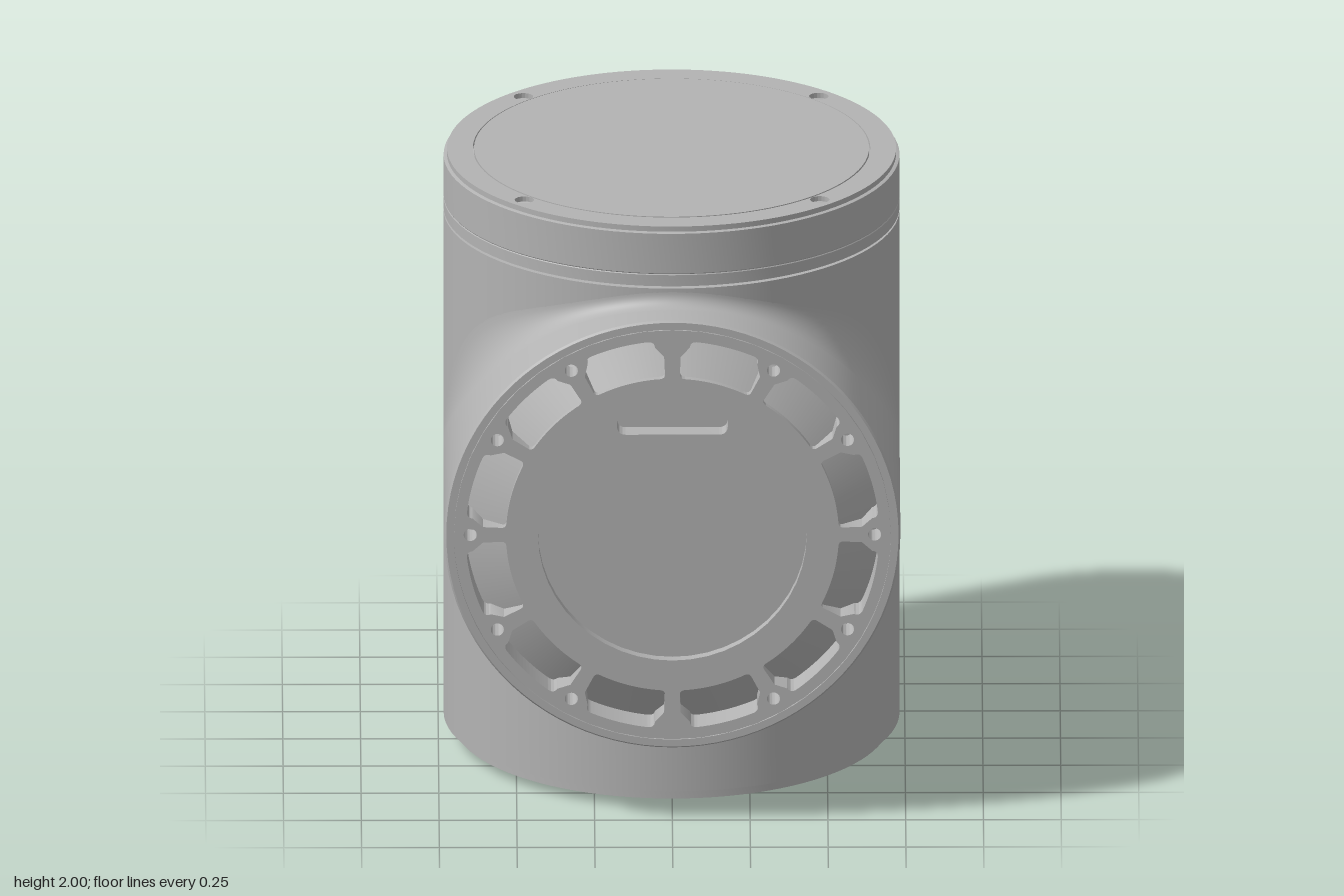
import * as THREE from 'three';
import { toCreasedNormals } from 'three/addons/utils/BufferGeometryUtils.js';

const R = 0.733;       // radius of the upright body and of the front collar
const ZC = -0.073;     // z of the upright axis
const FRONT = 0.805;   // z of the collar face

export function createModel() {
  const model = new THREE.Group();
  const grey = new THREE.MeshStandardMaterial({ color: 0xb3b3b3, side: THREE.DoubleSide });
  grey.name = 'grey metal';

  const add = (name, geometry, x = 0, y = 0, z = 0) => {
    const mesh = new THREE.Mesh(geometry, grey);
    mesh.name = name;
    mesh.position.set(x, y, z);
    model.add(mesh);
    return mesh;
  };
  const lathe = (points) => toCreasedNormals(
    new THREE.LatheGeometry(points.map(([r, y]) => new THREE.Vector2(r, y)), 96), 0.5);
  const circle = (Type, r, x = 0, y = 0) => {
    const c = new Type();
    c.absarc(x, y, r, 0, Math.PI * 2, false);
    return c;
  };
  const plate = (shape, depth, curveSegments = 64) => toCreasedNormals(
    new THREE.ExtrudeGeometry(shape, { depth, bevelEnabled: false, curveSegments }), 0.5);
  const polar = (r, a) => [r * Math.cos(a), r * Math.sin(a)];
  const deg = THREE.MathUtils.degToRad;

  // Upright body with stepped base and a small centre hole below
  add('body', lathe([
    [0, 0.03], [0.025, 0.03], [0.025, 0], [0.43, 0], [0.43, 0.028], [0.7, 0.028],
    [0.7, 0.065], [R, 0.065], [R, 1.79], [0.7, 1.79], [0.7, 1.8],
  ]), 0, 0, ZC);

  // Lid
  add('lid', lathe([
    [0.7, 1.798], [R, 1.798], [R, 1.836], [0.731, 1.839], [R, 1.842],
    [R, 1.978], [0.72, 1.982], [0, 1.982],
  ]), 0, 0, ZC);

  // Ring on the lid with four screw holes
  const lidRing = circle(THREE.Shape, 0.722);
  lidRing.holes.push(circle(THREE.Path, 0.639));
  for (let i = 0; i < 4; i++) {
    lidRing.holes.push(circle(THREE.Path, 0.031, ...polar(0.6715, deg(45 + 90 * i))));
  }
  add('lidRing', plate(lidRing, 0.018).rotateX(-Math.PI / 2), 0, 1.981, ZC);
  add('lidDisc', lathe([[0.635, 1.981], [0.635, 2], [0, 2]]), 0, 0, ZC);

  // Front collar
  add('collar', lathe([
    [R, ZC], [R, FRONT - 0.008], [0.727, FRONT], [0.703, FRONT], [0.703, FRONT - 0.01], [0.695, FRONT - 0.01],
  ]).rotateX(Math.PI / 2), 0, 1, 0);

  // Blend between collar and body, wide at the sides and tight above and below
  const rows = 144, cols = 10, pos = [], index = [];
  for (let i = 0; i <= rows; i++) {
    const b = (i / rows) * Math.PI * 2;
    const c = Math.cos(b), s = Math.sin(b);
    const f = 0.045 + 0.46 * c ** 4;
    const centre = new THREE.Vector3((R + f) * c, 1 + (R + f) * s, ZC + (R + f) * Math.abs(s));
    const u = new THREE.Vector3(-c, -s, 0), v = new THREE.Vector3(-c, 0, -Math.abs(s));
    const angle = u.angleTo(v);
    for (let j = 0; j <= cols; j++) {
      const t = j / cols;
      const d = angle < 1e-3 ? u.clone() : u.clone().multiplyScalar(Math.sin((1 - t) * angle))
        .addScaledVector(v, Math.sin(t * angle)).divideScalar(Math.sin(angle));
      pos.push(...d.multiplyScalar(f).add(centre).toArray());
      if (i < rows && j < cols) {
        const a = i * (cols + 1) + j, n = a + cols + 1;
        index.push(a, a + 1, n, a + 1, n + 1, n);
      }
    }
  }
  const blend = new THREE.BufferGeometry();
  blend.setAttribute('position', new THREE.Float32BufferAttribute(pos, 3));
  blend.setIndex(index);
  blend.computeVertexNormals();
  add('collarBlend', blend);

  // Face plate with bore, twelve vents and ten screw holes
  const face = circle(THREE.Shape, 0.702);
  face.holes.push(circle(THREE.Path, 0.432));
  for (let i = 0; i < 12; i++) {
    const mid = deg(15 + 30 * i);
    const vent = new THREE.Path();
    vent.moveTo(...polar(0.55, mid - deg(12.5)));
    vent.quadraticCurveTo(...polar(0.535, mid - deg(12.5)), ...polar(0.535, mid - deg(10.5)));
    vent.absarc(0, 0, 0.535, mid - deg(10.5), mid + deg(10.5), false);
    vent.quadraticCurveTo(...polar(0.535, mid + deg(12.5)), ...polar(0.55, mid + deg(12.5)));
    vent.lineTo(...polar(0.61, mid + deg(12.5)));
    vent.lineTo(...polar(0.645, mid + deg(10)));
    vent.quadraticCurveTo(...polar(0.665, mid + deg(10)), ...polar(0.665, mid + deg(8)));
    vent.absarc(0, 0, 0.665, mid + deg(8), mid - deg(8), true);
    vent.quadraticCurveTo(...polar(0.665, mid - deg(10)), ...polar(0.645, mid - deg(10)));
    vent.lineTo(...polar(0.61, mid - deg(12.5)));
    vent.closePath();
    face.holes.push(vent);
    if (i % 6 !== 3) face.holes.push(circle(THREE.Path, 0.021, ...polar(0.65, deg(30 * i))));
  }
  add('facePlate', plate(face, 0.135, 24), 0, 1, FRONT - 0.135);

  // Sloping floor behind the vents
  add('ventFloor', lathe([[0.695, 0.67], [0.53, 0.785]]).rotateX(Math.PI / 2), 0, 1, 0);

  // Bore floor with a slot cut in its upper edge
  const slotX = 0.178, slotY = 0.33, r = 0.434;
  const edge = Math.acos(slotX / r);
  const floor = new THREE.Shape();
  floor.absarc(0, 0, r, Math.PI - edge, Math.PI * 2 + edge, false);
  floor.lineTo(slotX, slotY + 0.03);
  floor.quadraticCurveTo(slotX, slotY, slotX - 0.03, slotY);
  floor.lineTo(-slotX + 0.03, slotY);
  floor.quadraticCurveTo(-slotX, slotY, -slotX, slotY + 0.03);
  floor.closePath();
  add('boreFloor', plate(floor, 0.07), 0, 1, 0.7);
  add('slotFloor', new THREE.CircleGeometry(0.436, 64), 0, 1, 0.699);

  return model;
}
